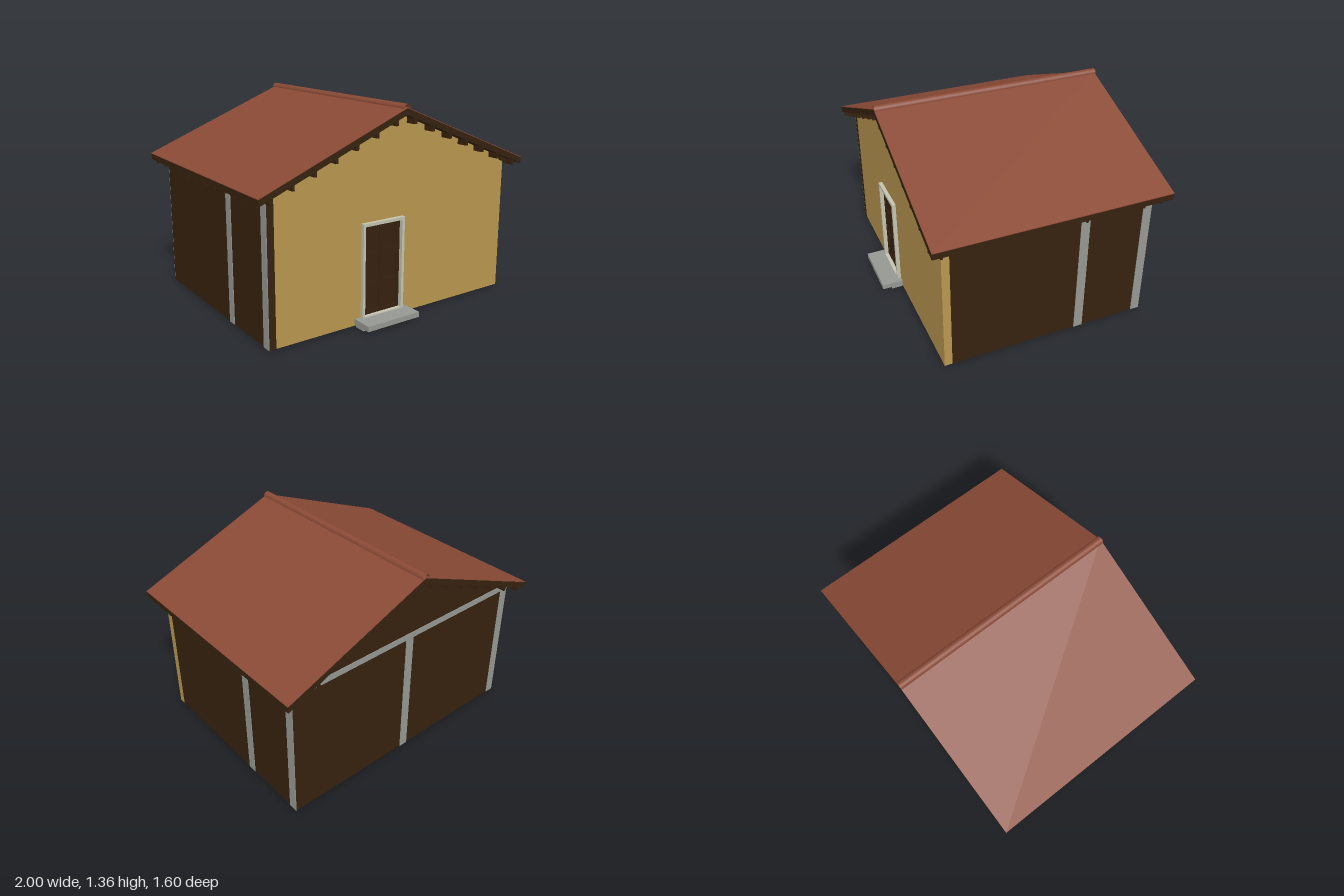
import * as THREE from 'three';

const mat = (name, color) => {
  const m = new THREE.MeshStandardMaterial({ color });
  m.name = name;
  return m;
};

export function createModel() {
  const house = new THREE.Group();
  house.name = 'house';
  const plaster = mat('ochre plaster', 0xb9964f);
  const wood = mat('dark wood', 0x36220f);
  const stone = mat('grey stone', 0x969893);
  const trim = mat('pale trim', 0xc4c3b0);
  const tile = mat('red tile', 0x8a4a36);
  tile.side = THREE.DoubleSide;

  const add = (name, geometry, material, parent = house) => {
    const mesh = new THREE.Mesh(geometry, material);
    mesh.name = name;
    parent.add(mesh);
    return mesh;
  };
  const group = (name) => {
    const g = new THREE.Group();
    g.name = name;
    house.add(g);
    return g;
  };
  // Box from its minimum and maximum on each axis
  const box = (name, material, [x0, x1], [y0, y1], [z0, z1], parent) =>
    add(name, new THREE.BoxGeometry(x1 - x0, y1 - y0, z1 - z0)
      .translate((x0 + x1) / 2, (y0 + y1) / 2, (z0 + z1) / 2), material, parent);
  // Outline in x, y pushed from z0 to z1, with an optional hole
  const outline = (pts) => pts.map(([x, y]) => new THREE.Vector2(x, y));
  const slab = (name, material, pts, z0, z1, hole, parent) => {
    const shape = new THREE.Shape(outline(pts));
    if (hole) shape.holes.push(new THREE.Path(outline(hole)));
    const geo = new THREE.ExtrudeGeometry(shape, { depth: z1 - z0, bevelEnabled: false });
    return add(name, geo.translate(0, 0, z0), material, parent);
  };
  const rect = (x0, x1, y0, y1) => [[x0, y0], [x1, y0], [x1, y1], [x0, y1]];

  // Main dimensions
  const base = 0.012, W = 0.91, T = 0.045, front = 0.66, back = -0.71;
  const eave = 0.915, beamY = 0.875, P = 0.06, plate = 0.004;
  const slope = 0.405, ridge = 1.33, thick = 0.04;
  const roofFront = 0.74, roofBack = -0.795;
  const top = (x) => ridge - slope * Math.abs(x);
  const under = (x) => top(x) - thick;

  // Gabled end walls and plain side walls, each overlapping the next at the corner
  const gable = (x0, x1) => [[x0, base], [x1, base], [x1, under(x1)], [0, under(0)], [x0, under(x0)]];
  const opening = rect(-0.27, 0.045, 0.055, 0.655);
  slab('frontWall', plaster, gable(-W + T, W), front - 0.05, front, opening);
  slab('backWall', wood, gable(-W, W - T), back, back + T);
  box('leftWall', wood, [W - T, W], [base, eave], [back, front - 0.05]);
  box('rightWall', wood, [-W, -W + T], [base, eave], [back + T, front]);

  // Flat stone posts and top beams on the wooden walls
  const posts = group('stoneFraming');
  const left = [W, W + plate], right = [-W - plate, -W], rear = [back - plate, back];
  for (const z of [-0.25, back + P / 2])
    box('leftPost', stone, left, [base, eave], [z - P / 2, z + P / 2], posts);
  for (const z of [0.2, front - P / 2])
    box('rightPost', stone, right, [base, eave], [z - P / 2, z + P / 2], posts);
  for (const x of [0.01, -W + P / 2])
    box('backPost', stone, [x - P / 2, x + P / 2], [base, x < -0.5 ? eave : beamY], rear, posts);
  box('leftBeam', stone, left, [beamY, eave], [back + P, front - 0.05], posts);
  box('rightBeam', stone, right, [beamY, eave], [back + T, front - P], posts);
  box('backBeam', stone, [-W + P, W - T], [beamY, eave], rear, posts);

  // Roof deck, tiled slopes and hollow ridge cap
  slab('roofDeck', wood, [[-0.998, under(1)], [0, under(0)], [0.998, under(1)],
    [0.998, top(1)], [0, top(0)], [-0.998, top(1)]], roofBack, roofFront);
  for (const s of [-1, 1])
    slab('roofTiles', tile, [[0, ridge], [s, top(1)], [s, top(1) + 0.004], [0, ridge + 0.004]],
      roofBack, roofFront);
  const cap = new THREE.CylinderGeometry(0.027, 0.027, roofFront - roofBack, 12, 1, true,
    Math.PI / 2, Math.PI);
  cap.rotateX(Math.PI / 2).translate(0, 1.328, (roofFront + roofBack) / 2);
  add('ridgeCap', cap, tile);

  // Purlin ends under the gables and rafter tails under the eaves
  const ends = group('roofTimbers');
  for (const s of [-1, 1]) {
    for (let i = 0; i < 7; i++) {
      const x = s * (0.07 + 0.1425 * i), y = under(x);
      for (const span of [[front, roofFront - 0.005], [roofBack + 0.005, back]])
        box('purlinEnd', wood, [x - 0.009, x + 0.009], [y - 0.032, y + 0.01], span, ends);
    }
    for (let i = 0; i < 12; i++) {
      const z = 0.68 - 0.1278 * i, a = 0.86, b = 0.985;
      slab('rafterTail', wood, [[s * a, under(a) + 0.005], [s * b, under(b) + 0.005],
        [s * b, under(b) - 0.028], [s * a, under(a) - 0.028]], z - 0.008, z + 0.008, null, ends);
    }
  }

  // Door with casing, raised rails and handle
  const door = group('door');
  slab('doorCasing', trim, opening, front - 0.06, 0.685, rect(-0.254, 0.026, 0.062, 0.635), door);
  box('doorLeaf', wood, [-0.255, 0.027], [0.06, 0.636], [0.62, 0.652], door);
  const face = [0.652, 0.659];
  for (const [x0, x1] of [[-0.254, -0.235], [-0.13, -0.1], [0.004, 0.026]])
    box('doorStile', wood, [x0, x1], [0.062, 0.635], face, door);
  for (const [y0, y1] of [[0.062, 0.085], [0.24, 0.27], [0.43, 0.465], [0.615, 0.635]])
    box('doorRail', wood, [-0.235, 0.004], [y0, y1], face, door);
  box('doorHandle', wood, [-0.004, 0.004], [0.29, 0.33], [0.659, 0.672], door);

  // Two-tier doorstep
  box('stepTop', stone, [-0.315, 0.08], [0.022, 0.056], [front, 0.8]);
  box('stepBase', stone, [-0.305, 0.07], [0, 0.022], [front, 0.735]);

  return house;
}
